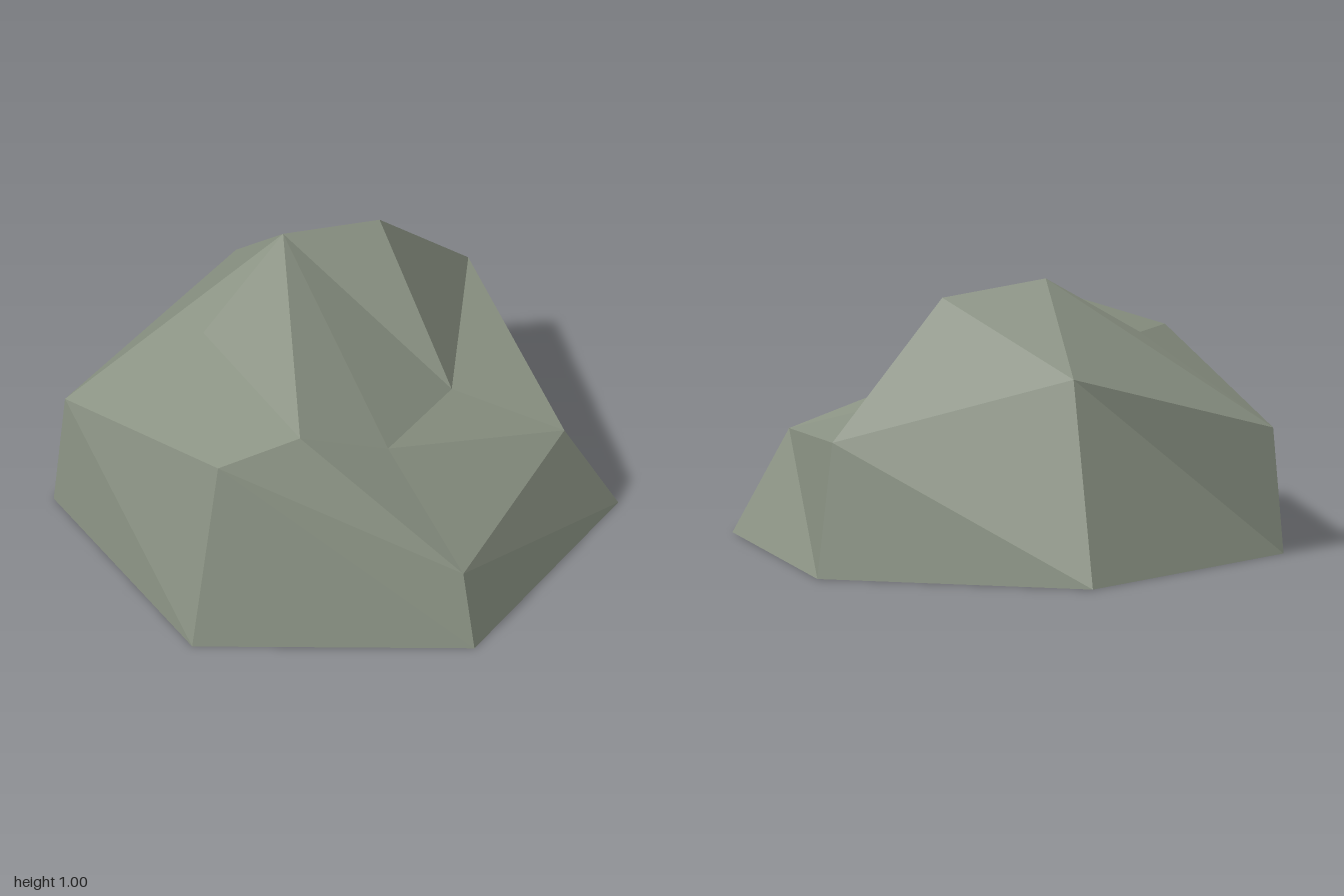
import * as THREE from 'three';

// Faceted boulder: three six-point rings, joined by triangle bands and capped.
export function createModel() {
  const group = new THREE.Group();
  group.name = 'boulder';

  const stone = new THREE.MeshStandardMaterial({ color: 0x8b9384 });
  stone.name = 'mossy grey stone';

  // Rings run from +x towards +z.
  const base = Array.from({ length: 6 }, (_, i) => {
    const a = (i * Math.PI) / 3;
    return [Math.cos(a), 0, Math.sin(a)];
  });
  const shoulder = [
    [0.81, 0.37, 0.07], [0.46, 0.28, 0.80], [-0.41, 0.68, 0.72],
    [-0.96, 0.45, 0.01], [-0.36, 0.695, -0.55], [0.46, 0.48, -0.80],
  ];
  const crown = [
    [0.41, 0.49, -0.01], [0.19, 0.60, 0.49], [-0.12, 0.77, 0.66],
    [-0.47, 0.77, 0.04], [-0.19, 1.0, -0.24], [0.15, 0.945, -0.40],
  ];

  const positions = [];
  const face = (...corners) => corners.forEach((c) => positions.push(...c));

  // Side bands between neighbouring rings
  for (const [low, high] of [[base, shoulder], [shoulder, crown]]) {
    for (let i = 0; i < 6; i++) {
      const p = (i + 5) % 6;
      face(low[i], low[p], high[i]);
      face(high[i], low[p], high[p]);
    }
  }

  // Top fans out from the peak; underside is a flat hexagon
  for (let k = 1; k < 5; k++) {
    face(crown[4], crown[(4 + k + 1) % 6], crown[(4 + k) % 6]);
    face(base[0], base[k], base[k + 1]);
  }

  const geometry = new THREE.BufferGeometry();
  geometry.setAttribute('position', new THREE.Float32BufferAttribute(positions, 3));
  geometry.computeVertexNormals(); // unshared corners give flat facets

  const rock = new THREE.Mesh(geometry, stone);
  rock.name = 'rock';
  group.add(rock);
  return group;
}
